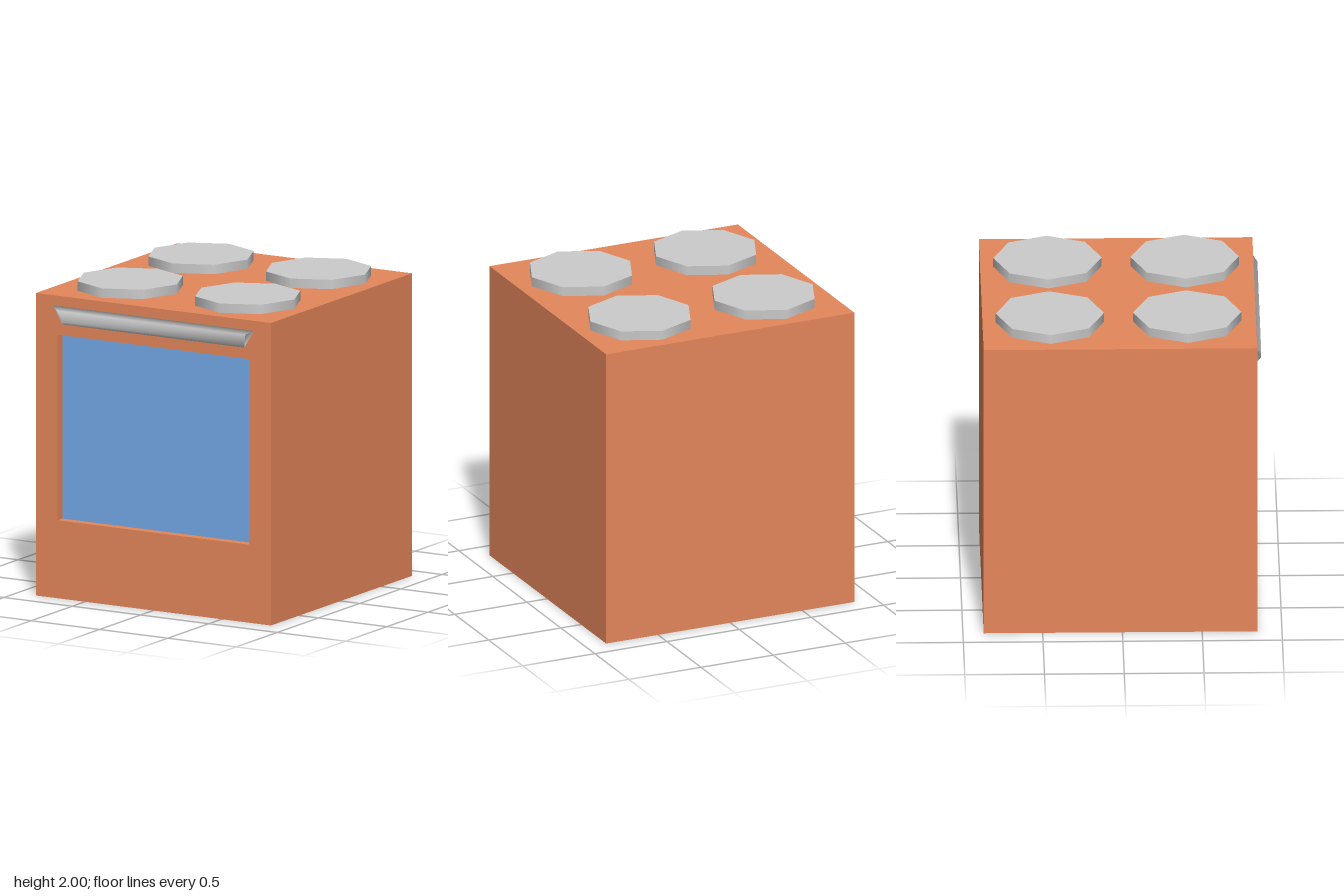
import * as THREE from 'three';
import { mergeGeometries } from 'three/addons/utils/BufferGeometryUtils.js';

const W = 1.72, H = 1.94, BACK = -0.87, FRONT = 0.845;
const WIN = { x: 0.7, y0: 0.5, y1: 1.69, depth: 0.06 };

const paint = (color, side = THREE.FrontSide) => new THREE.MeshStandardMaterial({ color, side });

function addMesh(parent, name, geometry, material) {
  const mesh = new THREE.Mesh(geometry, material);
  mesh.name = name;
  parent.add(mesh);
  return mesh;
}

// A box without some of its sides (0 +x, 1 -x, 2 +y, 3 -y, 4 +z, 5 -z)
function openBox(w, h, d, missing) {
  const box = new THREE.BoxGeometry(w, h, d);
  const index = Array.from(box.index.array).filter((_, i) => !missing.includes(Math.floor(i / 6)));
  box.setIndex(index);
  box.clearGroups();
  return box;
}

function rectangle(Type, x, y0, y1) {
  return new Type([[-x, y0], [x, y0], [x, y1], [-x, y1]].map(p => new THREE.Vector2(...p)));
}

// Handle: a bar tapering from a wide back outline to a smaller front one
function handleGeometry() {
  const ring = (top, bottom, y1, y0, z) => [-bottom, y0, z, bottom, y0, z, top, y1, z, -top, y1, z];
  const positions = [
    ...ring(0.735, 0.665, 1.875, 1.76, FRONT),
    ...ring(0.69, 0.65, 1.85, 1.782, 0.873),
  ];
  const index = [4, 5, 6, 4, 6, 7, 0, 2, 1, 0, 3, 2];
  for (let i = 0; i < 4; i++) {
    const j = (i + 1) % 4;
    index.push(i, j, j + 4, i, j + 4, i + 4);
  }
  const geometry = new THREE.BufferGeometry();
  geometry.setAttribute('position', new THREE.Float32BufferAttribute(positions, 3));
  geometry.setIndex(index);
  geometry.computeVertexNormals();
  return geometry;
}

export function createModel() {
  const model = new THREE.Group();
  model.name = 'stove';
  const orange = 0xe5875b;

  // Cabinet: five plain sides and a front with the window opening
  const sides = openBox(W, H, FRONT - BACK, [4]).translate(0, H / 2, (FRONT + BACK) / 2);
  const face = rectangle(THREE.Shape, W / 2, 0, H);
  face.holes.push(rectangle(THREE.Path, WIN.x, WIN.y0, WIN.y1));
  const front = new THREE.ShapeGeometry(face).translate(0, 0, FRONT);
  addMesh(model, 'cabinet', mergeGeometries([sides, front]), paint(orange));

  // Recessed oven window and the walls around it
  const winH = WIN.y1 - WIN.y0, winY = (WIN.y0 + WIN.y1) / 2;
  const reveal = openBox(WIN.x * 2, winH, WIN.depth, [4, 5]);
  addMesh(model, 'windowReveal', reveal, paint(orange, THREE.BackSide))
    .position.set(0, winY, FRONT - WIN.depth / 2);
  addMesh(model, 'ovenWindow', new THREE.PlaneGeometry(WIN.x * 2, winH), paint(0x74a9e8))
    .position.set(0, winY, FRONT - WIN.depth);

  addMesh(model, 'doorHandle', handleGeometry(), paint(0xcccccc));

  // Four octagonal hot plates
  const plate = new THREE.CylinderGeometry(0.34, 0.34, 0.06, 8);
  const grey = paint(0xcccccc);
  for (const x of [-0.43, 0.43]) {
    for (const z of [-0.447, 0.413]) {
      addMesh(model, 'hotPlate', plate, grey).position.set(x, H + 0.03, z);
    }
  }
  return model;
}
